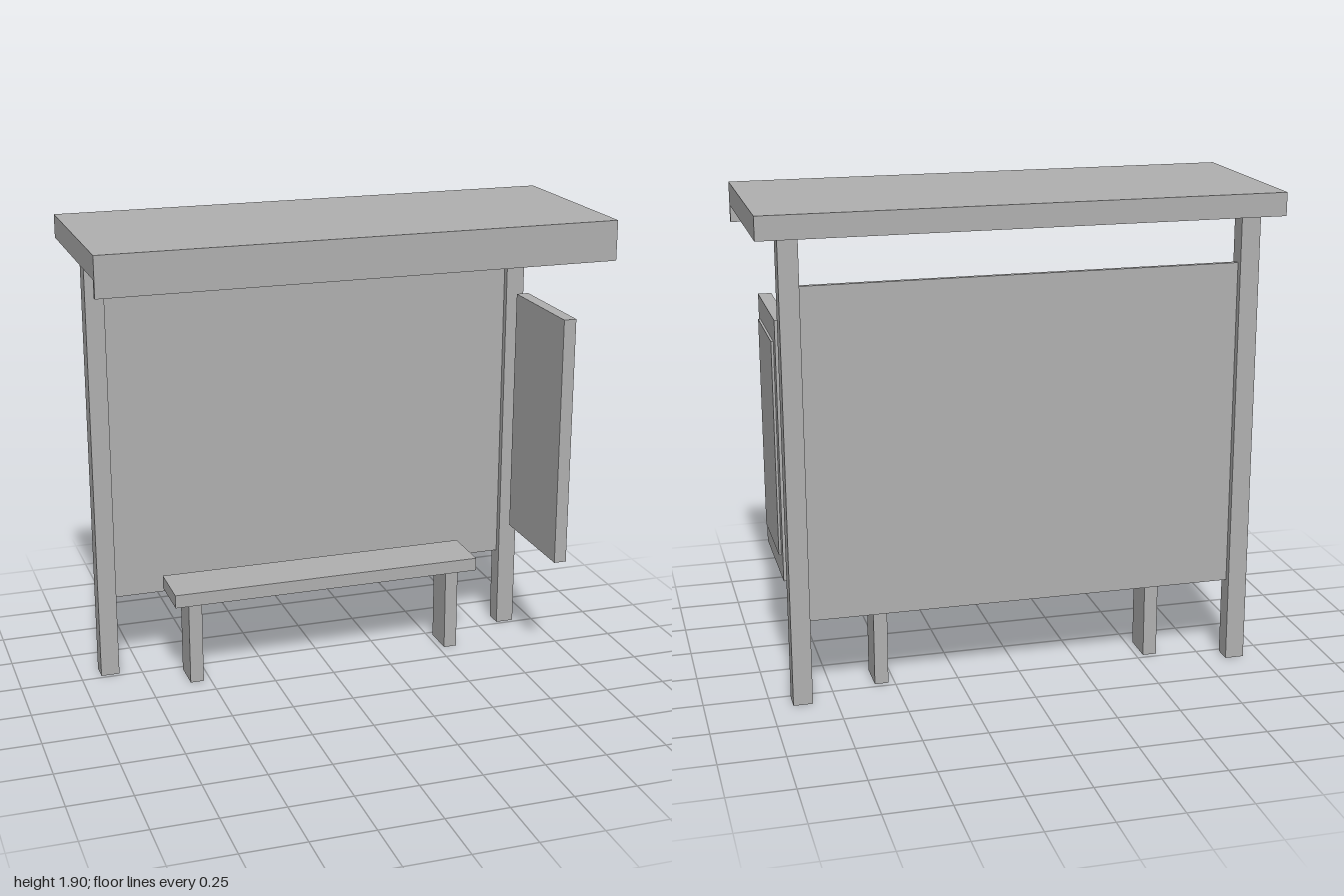
import * as THREE from 'three';

export function createModel() {
  const model = new THREE.Group();
  model.name = 'busShelter';
  const grey = new THREE.MeshStandardMaterial({ color: 0xb0b0b0, side: THREE.DoubleSide });
  grey.name = 'plain grey';

  // Sheet-metal box given by its limits; the underside is left open
  function shell(name, [x0, x1], [y0, y1], [z0, z1]) {
    const geo = new THREE.BoxGeometry(x1 - x0, y1 - y0, z1 - z0);
    const index = Array.from(geo.index.array);
    index.splice(18, 6);
    geo.setIndex(index);
    geo.clearGroups();
    const mesh = new THREE.Mesh(geo, grey);
    mesh.name = name;
    mesh.position.set((x0 + x1) / 2, (y0 + y1) / 2, (z0 + z1) / 2);
    model.add(mesh);
  }

  // Roof with a lip hanging from its front edge
  shell('roof', [-1, 1], [1.81, 1.9], [-0.39, 0.39]);
  shell('roofLip', [-1, 1], [1.745, 1.81], [0.37, 0.39]);

  // Posts and the wall between them
  shell('rightPost', [-0.918, -0.843], [0, 1.81], [-0.34, -0.266]);
  shell('leftPost', [0.841, 0.916], [0, 1.81], [-0.34, -0.266]);
  shell('backWall', [-0.843, 0.841], [0.33, 1.625], [-0.313, -0.293]);

  // Bench
  shell('benchSeat', [-0.648, 0.643], [0.356, 0.41], [-0.266, -0.045]);
  shell('rightBenchLeg', [-0.584, -0.529], [0, 0.356], [-0.227, -0.091]);
  shell('leftBenchLeg', [0.525, 0.579], [0, 0.356], [-0.227, -0.091]);

  // Display case at the left end, with a thin poster on its outer face
  shell('displayCase', [0.87, 0.921], [0.467, 1.485], [-0.227, 0.233]);
  shell('poster', [0.921, 0.93], [0.557, 1.395], [-0.181, 0.187]);

  return model;
}
